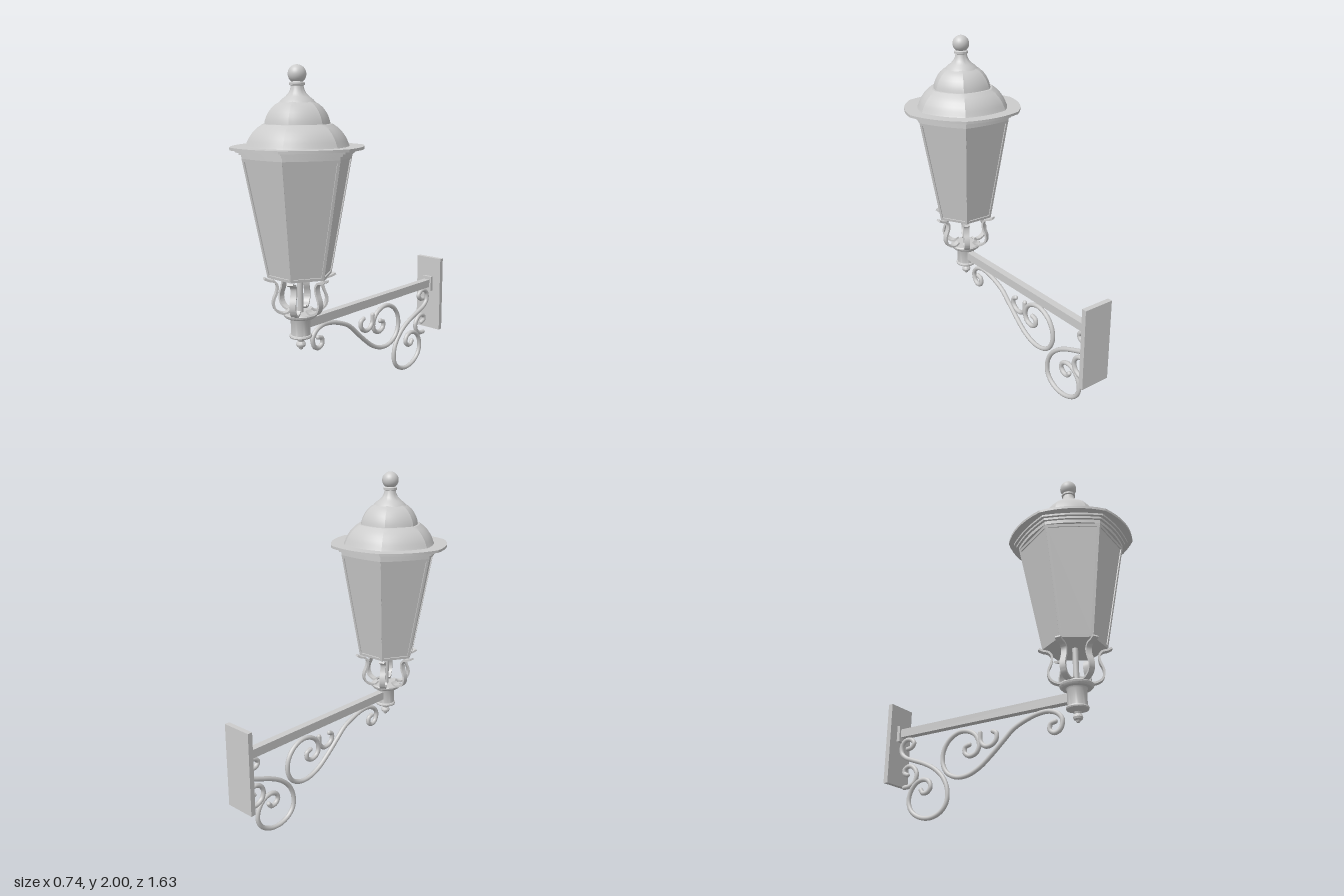
import * as THREE from 'three';
import { toCreasedNormals } from 'three/addons/utils/BufferGeometryUtils.js';

const material = new THREE.MeshStandardMaterial({ color: 0xcccccc, side: THREE.DoubleSide });
const LAMP_Z = 0.46;

function add(parent, name, geometry, x = 0, y = 0, z = 0) {
  const mesh = new THREE.Mesh(geometry, material);
  mesh.name = name;
  mesh.position.set(x, y, z);
  parent.add(mesh);
  return mesh;
}

// Hexagonal loft of [radius, y] rings listed upward; bulge 0 = straight sides, 1 = round
function hexLoft(rings, bulge = 0) {
  const n = bulge ? 8 : 1, count = 6 * n, pos = [], index = [];
  for (const [r, y] of rings) {
    for (let i = 0; i < count; i++) {
      const a = (i / count) * Math.PI * 2;
      const phi = ((i % n) / n - 0.5) * Math.PI / 3;
      const k = r * ((1 - bulge) * Math.cos(Math.PI / 6) / Math.cos(phi) + bulge);
      pos.push(k * Math.cos(a), y, k * Math.sin(a));
    }
  }
  for (let j = 0; j < rings.length - 1; j++) {
    for (let i = 0; i < count; i++) {
      const a = j * count + i, b = j * count + (i + 1) % count;
      index.push(a, a + count, b + count, a, b + count, b);
    }
  }
  const g = new THREE.BufferGeometry();
  g.setAttribute('position', new THREE.Float32BufferAttribute(pos, 3));
  g.setIndex(index);
  return toCreasedNormals(g, 0.28);
}

const lathe = (pts, seg = 32) => toCreasedNormals(
  new THREE.LatheGeometry(pts.map(p => new THREE.Vector2(...p)), seg), 0.6);

// Flat strap following a planar curve
function strap(pts, thickness, width) {
  const curve = new THREE.SplineCurve(pts.map(p => new THREE.Vector2(...p)));
  const outer = [], inner = [];
  for (let i = 0; i <= 40; i++) {
    const p = curve.getPoint(i / 40), t = curve.getTangent(i / 40);
    const n = new THREE.Vector2(-t.y, t.x).multiplyScalar(thickness / 2);
    outer.push(p.clone().add(n));
    inner.unshift(p.clone().sub(n));
  }
  const g = new THREE.ExtrudeGeometry(new THREE.Shape([...outer, ...inner]),
    { depth: width, bevelEnabled: false });
  g.translate(0, 0, -width / 2);
  return toCreasedNormals(g, 0.6);
}

// Round bar through [z, y] points with rounded ends
function scroll(parent, name, pts, radius = 0.014) {
  const path = pts.map(([z, y]) => new THREE.Vector3(0, y, z));
  const g = new THREE.Group();
  g.name = name;
  parent.add(g);
  add(g, 'bar', new THREE.TubeGeometry(new THREE.CatmullRomCurve3(path), pts.length * 6, radius, 10));
  for (const p of [path[0], path[path.length - 1]]) {
    add(g, 'barEnd', new THREE.SphereGeometry(radius, 10, 8), p.x, p.y, p.z);
  }
}

export function createModel() {
  const model = new THREE.Group();
  model.name = 'wallLantern';
  const lamp = new THREE.Group();
  lamp.name = 'lantern';
  lamp.position.z = LAMP_Z;
  model.add(lamp);

  // Roof: stepped cornice, wide brim, two domes and a turned finial
  add(lamp, 'cornice', hexLoft([[0, 1.51], [0.31, 1.51], [0.31, 1.53], [0.325, 1.53],
    [0.325, 1.543], [0.342, 1.543], [0.342, 1.557]], 0.35));
  add(lamp, 'brim', hexLoft([[0, 1.555], [0.372, 1.555], [0.372, 1.57], [0, 1.57]], 0.7));
  add(lamp, 'lowerDome', hexLoft([[0.29, 1.57], [0.285, 1.58], [0.277, 1.6], [0.265, 1.622],
    [0.247, 1.646], [0.224, 1.668], [0.195, 1.688], [0.17, 1.69]], 0.65));
  add(lamp, 'upperDome', hexLoft([[0.184, 1.685], [0.18, 1.705], [0.172, 1.728], [0.159, 1.752],
    [0.142, 1.774], [0.12, 1.793], [0.095, 1.806]], 0.6));
  add(lamp, 'finialNeck', lathe([[0.1, 1.8], [0.085, 1.818], [0.065, 1.832], [0.048, 1.85],
    [0.038, 1.87], [0.034, 1.89], [0.042, 1.893], [0.042, 1.905], [0.03, 1.912], [0.02, 1.93]]));
  add(lamp, 'finialBall', new THREE.SphereGeometry(0.05, 28, 18), 0, 1.95, 0);

  // Tapered glass body with closed floor
  add(lamp, 'glass', hexLoft([[0, 0.852], [0.178, 0.852], [0.302, 1.515]]));

  // Framed panes, one for each side
  const rise = 0.66, lean = 0.108, slant = Math.hypot(rise, lean);
  const pane = new THREE.Shape([[-0.0925, 0], [0.0925, 0], [0.155, slant], [-0.155, slant]]
    .map(p => new THREE.Vector2(...p)));
  pane.holes.push(new THREE.Path([[-0.079, 0.016], [-0.139, slant - 0.016],
    [0.139, slant - 0.016], [0.079, 0.016]].map(p => new THREE.Vector2(...p))));
  const paneGeometry = new THREE.ExtrudeGeometry(pane, { depth: 0.012, bevelEnabled: false });
  paneGeometry.translate(0, 0, -0.012);

  // Curved supports under each corner
  const strapGeometry = strap([[0.205, 0.848], [0.18, 0.836], [0.15, 0.828], [0.132, 0.803],
    [0.136, 0.765], [0.152, 0.725], [0.154, 0.69], [0.138, 0.658], [0.105, 0.641],
    [0.078, 0.643], [0.06, 0.658]], 0.012, 0.035);
  for (let k = 0; k < 6; k++) {
    const side = new THREE.Group();
    side.name = 'lanternSide';
    side.rotation.y = k * Math.PI / 3;
    lamp.add(side);
    add(side, 'paneFrame', paneGeometry, 0, 0.85, 0.16).rotation.x = Math.atan2(lean, rise);
    add(side, 'cornerSupport', strapGeometry);
  }

  // Centre stem and turned socket with drop
  add(lamp, 'stem', new THREE.CylinderGeometry(0.017, 0.017, 0.22, 16), 0, 0.745, 0);
  add(lamp, 'socket', lathe([[0, 0.415], [0.01, 0.418], [0.014, 0.428], [0.024, 0.434], [0.028, 0.446],
    [0.024, 0.459], [0.018, 0.465], [0.022, 0.476], [0.045, 0.484], [0.062, 0.49], [0.065, 0.497],
    [0.062, 0.505], [0.056, 0.508], [0.056, 0.6], [0.062, 0.61], [0.085, 0.61], [0.095, 0.62],
    [0.097, 0.63], [0.092, 0.638], [0, 0.638]]));

  // Wall plate, mount and arm
  add(model, 'wallPlate', new THREE.BoxGeometry(0.19, 0.5, 0.03), 0, 0.49, -0.8);
  add(model, 'armMount', new THREE.BoxGeometry(0.07, 0.1, 0.022), 0, 0.56, -0.775);
  add(model, 'arm', new THREE.BoxGeometry(0.045, 0.052, 1.19), 0, 0.563, -0.175);

  // Wrought scrolls under the arm
  scroll(model, 'longScroll', [[0.32, 0.45], [0.29, 0.44], [0.285, 0.405], [0.315, 0.385], [0.35, 0.4],
    [0.365, 0.45], [0.34, 0.49], [0.285, 0.515], [0.22, 0.515], [0.14, 0.495], [0.05, 0.455],
    [-0.02, 0.395], [-0.1, 0.325], [-0.18, 0.265], [-0.26, 0.232], [-0.34, 0.23], [-0.41, 0.265],
    [-0.445, 0.33], [-0.44, 0.405], [-0.4, 0.465], [-0.33, 0.5], [-0.26, 0.493], [-0.205, 0.455],
    [-0.185, 0.395], [-0.205, 0.355], [-0.25, 0.342], [-0.285, 0.365], [-0.285, 0.4], [-0.255, 0.412]]);
  scroll(model, 'longScrollCurl', [[-0.18, 0.47], [-0.175, 0.415], [-0.14, 0.383], [-0.095, 0.387],
    [-0.067, 0.415], [-0.067, 0.45], [-0.09, 0.465]]);
  scroll(model, 'wallScroll', [[-0.72, 0.46], [-0.69, 0.465], [-0.672, 0.49], [-0.695, 0.515],
    [-0.735, 0.518], [-0.765, 0.49], [-0.765, 0.44], [-0.73, 0.405], [-0.67, 0.38], [-0.58, 0.345],
    [-0.5, 0.3], [-0.435, 0.235], [-0.405, 0.16], [-0.41, 0.09], [-0.45, 0.042], [-0.52, 0.017],
    [-0.6, 0.027], [-0.665, 0.07], [-0.69, 0.13], [-0.675, 0.195], [-0.635, 0.237], [-0.585, 0.25],
    [-0.545, 0.235], [-0.53, 0.2], [-0.55, 0.172], [-0.585, 0.168], [-0.602, 0.19]]);
  scroll(model, 'wallScrollCurl', [[-0.73, 0.22], [-0.685, 0.225], [-0.65, 0.25], [-0.64, 0.295],
    [-0.665, 0.335], [-0.7, 0.348], [-0.732, 0.335], [-0.735, 0.308], [-0.71, 0.295]]);

  return model;
}
